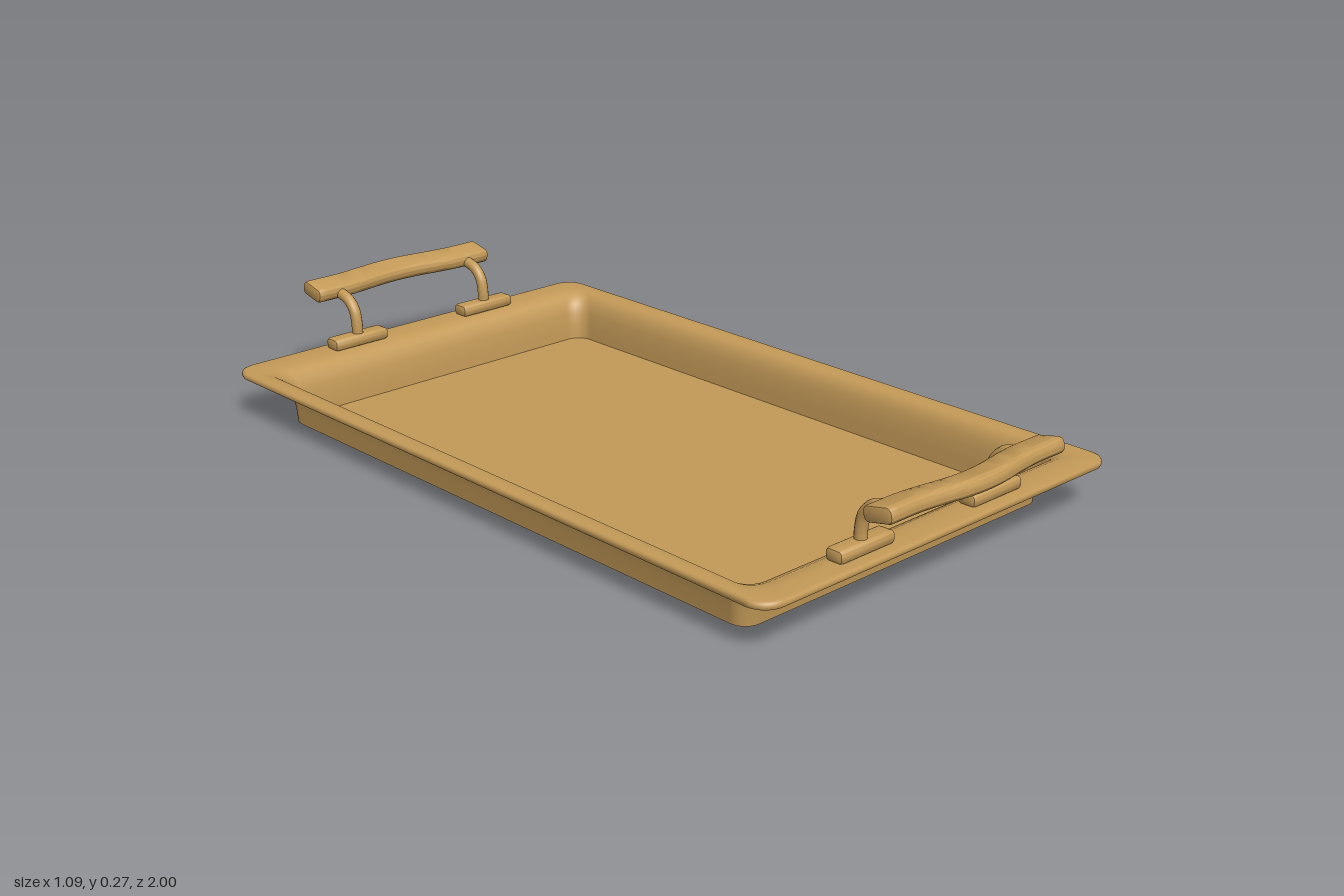
import * as THREE from 'three';
import { toCreasedNormals } from 'three/addons/utils/BufferGeometryUtils.js';

const brass = new THREE.MeshStandardMaterial({ color: 0xc49a58, side: THREE.DoubleSide });
brass.name = 'brass';

function addMesh(parent, geometry, name) {
  const mesh = new THREE.Mesh(geometry, brass);
  mesh.name = name;
  parent.add(mesh);
  return mesh;
}

function roundedRect(hw, hh, r) {
  const s = new THREE.Shape();
  s.absarc(hw - r, hh - r, r, 0, Math.PI / 2);
  s.absarc(-hw + r, hh - r, r, Math.PI / 2, Math.PI);
  s.absarc(-hw + r, -hh + r, r, Math.PI, Math.PI * 1.5);
  s.absarc(hw - r, -hh + r, r, Math.PI * 1.5, Math.PI * 2);
  s.closePath();
  return s;
}

// One rounded-rectangle loop of the tray at a given height
function loop(hx, hz, r, y) {
  const pts = [], n = 8;
  [[1, 1], [-1, 1], [-1, -1], [1, -1]].forEach(([sx, sz], q) => {
    for (let i = 0; i <= n; i++) {
      const a = (q + i / n) * Math.PI / 2;
      pts.push([sx * (hx - r) + r * Math.cos(a), y, sz * (hz - r) + r * Math.sin(a)]);
    }
  });
  return pts;
}

// Skin between successive loops
function loft(loops) {
  const n = loops[0].length, index = [];
  for (let j = 0; j < loops.length - 1; j++) {
    for (let i = 0; i < n; i++) {
      const a = j * n + i, b = j * n + (i + 1) % n;
      index.push(a, a + n, b, b, a + n, b + n);
    }
  }
  const g = new THREE.BufferGeometry();
  g.setAttribute('position', new THREE.Float32BufferAttribute(loops.flat(2), 3));
  g.setIndex(index);
  g.computeVertexNormals();
  // Rim and wall face up and inwards
  if (g.attributes.normal.getY(3 * n) < 0) {
    g.setIndex(index.reverse());
    g.computeVertexNormals();
  }
  return g;
}

// Bar along x with a rounded section and chamfered ends
function bar(length, height, depth, radius, chamfer, steps) {
  const g = new THREE.ExtrudeGeometry(roundedRect(depth / 2, height / 2, radius), {
    depth: length - 2 * chamfer, steps, curveSegments: 6,
    bevelThickness: chamfer, bevelSize: chamfer, bevelOffset: -chamfer, bevelSegments: 2,
  });
  g.translate(0, 0, -length / 2 + chamfer);
  g.rotateY(Math.PI / 2);
  return g;
}

function createHandle(name) {
  const handle = new THREE.Group();
  handle.name = name;

  // Grip: tilted bar whose middle bows outwards
  const grip = bar(0.54, 0.036, 0.074, 0.014, 0.007, 28);
  grip.rotateX(-0.22);
  const p = grip.attributes.position;
  for (let i = 0; i < p.count; i++) {
    const t = Math.min(Math.abs(p.getX(i)) / 0.2, 1);
    p.setZ(i, p.getZ(i) + 0.01 * (1 + Math.cos(Math.PI * t)));
  }
  grip.translate(0, 0.243, 0.941);
  addMesh(handle, toCreasedNormals(grip, 0.6), 'grip');

  for (const x of [-0.202, 0.202]) {
    // Foot plate on the rim
    const foot = bar(0.16, 0.03, 0.046, 0.011, 0.009, 1);
    foot.translate(x, 0.13, 0.846);
    addMesh(handle, toCreasedNormals(foot, 0.6), 'foot');

    // Curved post
    const path = new THREE.CatmullRomCurve3([
      [0.846, 0.13], [0.846, 0.165], [0.854, 0.2], [0.876, 0.223], [0.905, 0.232], [0.94, 0.24],
    ].map(([z, y]) => new THREE.Vector3(x, y, z)));
    addMesh(handle, new THREE.TubeGeometry(path, 20, 0.014, 12), 'post');
  }
  return handle;
}

export function createModel() {
  const model = new THREE.Group();
  model.name = 'servingTray';

  // Rim lip, flat rim and curved wall: half width, half length, corner radius, height
  const profile = [
    [0.540, 0.893, 0.050, 0.102],
    [0.543, 0.896, 0.053, 0.108],
    [0.541, 0.894, 0.051, 0.115],
    [0.535, 0.888, 0.047, 0.118],
    [0.515, 0.850, 0.045, 0.118],
    [0.500, 0.820, 0.045, 0.116],
    [0.488, 0.800, 0.045, 0.107],
    [0.478, 0.787, 0.045, 0.090],
    [0.472, 0.779, 0.045, 0.066],
    [0.468, 0.774, 0.042, 0.035],
    [0.465, 0.771, 0.040, 0.000],
  ];
  addMesh(model, loft(profile.map((row) => loop(...row))), 'rimAndWall');

  // Floor
  const floor = new THREE.ShapeGeometry(roundedRect(0.465, 0.771, 0.04), 8);
  floor.rotateX(-Math.PI / 2);
  addMesh(model, floor, 'floor');

  // Handles at both ends
  const front = createHandle('frontHandle');
  front.position.x = -0.021;
  const back = createHandle('backHandle');
  back.rotation.y = Math.PI;
  back.position.set(-0.004, 0, -0.004);
  model.add(front, back);
  return model;
}
